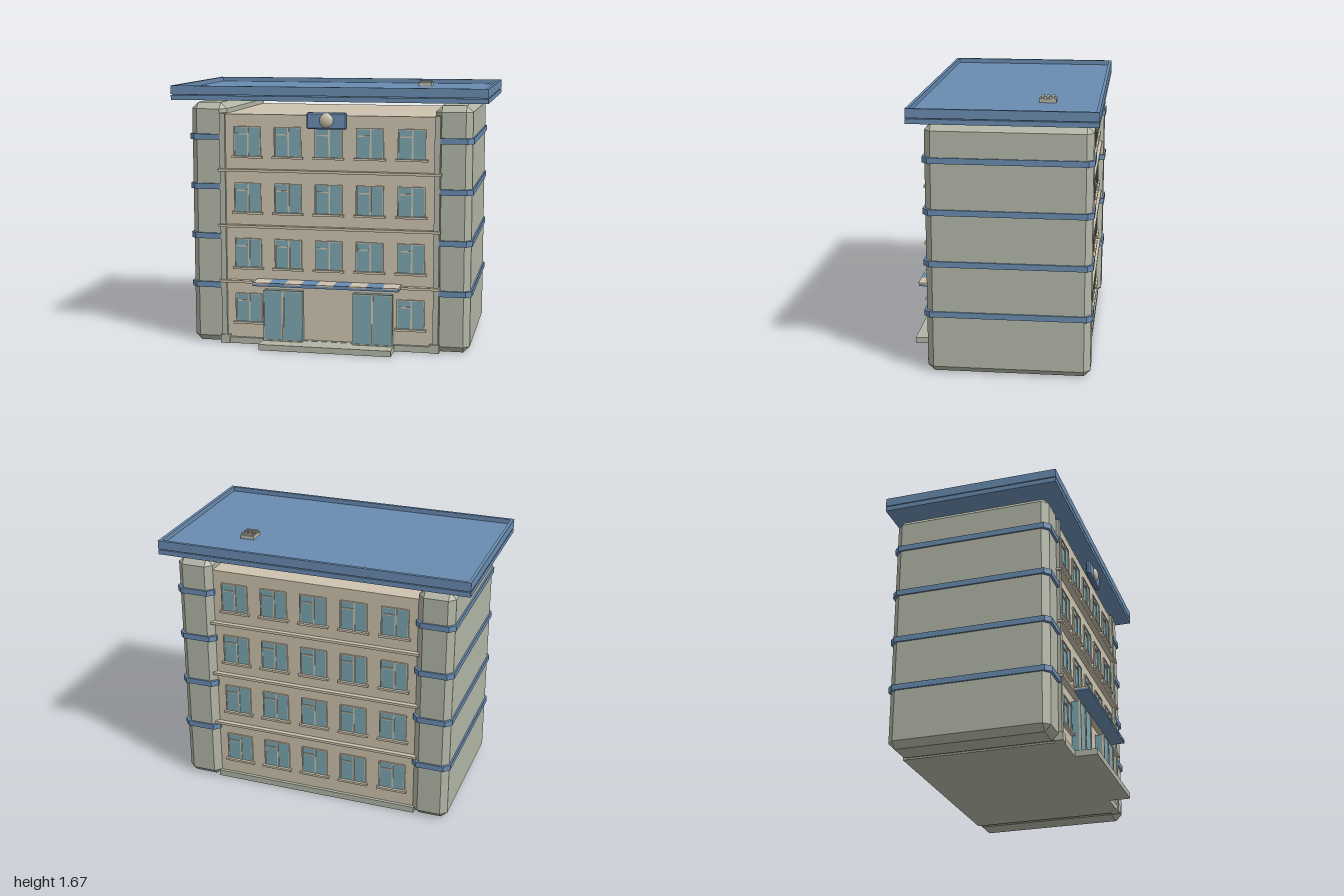
import * as THREE from 'three';
import { ConvexGeometry } from 'three/addons/geometries/ConvexGeometry.js';

const mat = (name, color) => {
  const m = new THREE.MeshStandardMaterial({ color });
  m.name = name;
  return m;
};

export function createModel() {
  const model = new THREE.Group();
  model.name = 'building';
  const wall = mat('beige wall', 0xcdc3ae);
  const stone = mat('grey green stone', 0xb2b6a6);
  const blue = mat('blue trim', 0x6a8cb1);
  const glass = mat('teal glass', 0x7ba5b0);

  const add = (parent, name, geo, material) => {
    const m = new THREE.Mesh(geo, material);
    m.name = name;
    parent.add(m);
    return m;
  };
  // Box given by its minimum and maximum on each axis
  const box = (parent, name, material, x0, x1, y0, y1, z0, z1) => {
    const m = add(parent, name, new THREE.BoxGeometry(x1 - x0, y1 - y0, z1 - z0), material);
    m.position.set((x0 + x1) / 2, (y0 + y1) / 2, (z0 + z1) / 2);
    return m;
  };
  // Box with all edges chamfered by c
  const chamferBox = (parent, name, material, x0, x1, y0, y1, z0, z1, c) => {
    const h = [(x1 - x0) / 2, (y1 - y0) / 2, (z1 - z0) / 2];
    const pts = [];
    for (const sx of [-1, 1]) for (const sy of [-1, 1]) for (const sz of [-1, 1])
      for (let full = 0; full < 3; full++) {
        const d = h.map((v, i) => (i === full ? v : v - c));
        pts.push(new THREE.Vector3(sx * d[0], sy * d[1], sz * d[2]));
      }
    const m = add(parent, name, new ConvexGeometry(pts), material);
    m.position.set((x0 + x1) / 2, (y0 + y1) / 2, (z0 + z1) / 2);
    return m;
  };

  const FRONT = 0.44, BACK = -0.525;

  // Main block and plinth
  box(model, 'mainBlock', wall, -0.69, 0.69, 0.01, 1.49, BACK, FRONT);
  box(model, 'plinth', stone, -0.68, 0.68, 0, 0.04, BACK - 0.02, FRONT + 0.02);

  // Side towers with blue bands, and front pilasters
  for (const s of [-1, 1]) {
    const tower = new THREE.Group();
    tower.name = s > 0 ? 'leftTower' : 'rightTower';
    model.add(tower);
    const span = (a, b) => (s > 0 ? [a, b] : [-b, -a]);
    chamferBox(tower, 'towerBody', stone, ...span(0.67, 0.9), 0, 1.56, -0.565, 0.44, 0.04);
    for (const y of [0.382, 0.703, 1.025, 1.343]) {
      // Band follows the chamfered plan of the tower
      const [x0, x1] = span(0.66, 0.91);
      const c = 0.036, z0 = -0.575, z1 = 0.455;
      const plan = [[x0 + c, z0], [x1 - c, z0], [x1, z0 + c], [x1, z1 - c],
        [x1 - c, z1], [x0 + c, z1], [x0, z1 - c], [x0, z0 + c]];
      const pts = plan.flatMap(([x, z]) =>
        [y - 0.018, y + 0.018].map((h) => new THREE.Vector3(x, h, z)));
      add(tower, 'towerBand', new ConvexGeometry(pts), blue);
    }
    box(tower, 'pilaster', stone, ...span(0.67, 0.705), 0, 1.495, 0.41, 0.46);
    box(tower, 'pilasterBase', stone, ...span(0.65, 0.712), 0, 0.055, 0.41, 0.468);
  }

  // Ledges between floors
  for (const y of [0.412, 0.774, 1.134]) {
    box(model, 'frontLedge', wall, -0.715, 0.715, y - 0.008, y + 0.008, FRONT - 0.01, 0.476);
    box(model, 'backLedge', wall, -0.69, 0.69, y - 0.008, y + 0.008, BACK - 0.03, BACK + 0.01);
  }

  // Window built facing +z with its wall at z = 0
  const makeWindow = () => {
    const g = new THREE.Group();
    g.name = 'window';
    const w = 0.085, h = 0.095, t = 0.006, d = 0.01;
    box(g, 'windowGlass', glass, -w, w, -h, h, -0.004, 0.004);
    for (const s of [-1, 1]) {
      box(g, 'windowFrameSide', wall, s * w - t / 2, s * w + t / 2, -h, h, 0, d);
      box(g, 'windowFrameRail', wall, -w, w, s * h - t / 2, s * h + t / 2, 0, d);
    }
    box(g, 'windowMullion', wall, 0, 0.01, -h, h, 0, d);
    box(g, 'windowTransom', wall, -w + 0.012, 0, h - 0.05, h - 0.042, 0, d);
    box(g, 'windowSill', wall, -0.1, 0.1, -h - 0.008, -h + 0.006, 0, 0.022);
    return g;
  };
  for (const y of [0.235, 0.595, 0.955, 1.315]) {
    for (let i = -2; i <= 2; i++) {
      const x = i * 0.2635;
      if (y > 0.3 || Math.abs(i) === 2) {
        const front = makeWindow();
        front.position.set(x, y, FRONT);
        model.add(front);
      }
      const back = makeWindow();
      back.position.set(x, y, BACK);
      back.rotation.y = Math.PI;
      model.add(back);
    }
  }

  // Entrance step and projecting glazed door bays
  box(model, 'entranceStep', stone, -0.425, 0.425, 0, 0.038, 0.4, 0.6);
  for (const s of [-1, 1]) {
    const bay = new THREE.Group();
    bay.name = 'doorBay';
    bay.position.x = s * 0.29;
    model.add(bay);
    box(bay, 'doorGlass', glass, -0.125, 0.125, 0.038, 0.366, FRONT, 0.494);
    for (const x of [-0.125, -0.004, 0.004, 0.125])
      box(bay, 'doorPost', wall, x - 0.003, x + 0.003, 0.038, 0.37, 0.485, 0.5);
    for (const y of [0.041, 0.367])
      box(bay, 'doorRail', wall, -0.125, 0.125, y - 0.003, y + 0.003, 0.485, 0.5);
  }

  // Striped canopy
  box(model, 'canopySlab', blue, -0.468, 0.468, 0.408, 0.422, FRONT, 0.565);
  for (let i = 0; i < 9; i++) {
    const x = -0.468 + i * 0.104;
    box(model, 'canopyStripe', i % 2 ? blue : wall, x, x + 0.104, 0.422, 0.431, FRONT, 0.567);
  }

  // Sign plate with a domed lamp
  chamferBox(model, 'signPlate', blue, -0.127, 0.127, 1.408, 1.512, 0.478, 0.51, 0.008);
  const dome = add(model, 'signDome', new THREE.SphereGeometry(0.045, 24, 16), wall);
  dome.scale.z = 0.55;
  dome.position.set(0, 1.463, 0.507);

  // Floating roof: lower slab, groove core, raised rim around a sunken deck
  box(model, 'roofSlab', blue, -1, 1, 1.58, 1.61, -0.6, 0.525);
  box(model, 'roofDeck', blue, -0.99, 0.99, 1.605, 1.64, -0.59, 0.515);
  const rim = new THREE.Shape();
  rim.moveTo(-1, -0.525).lineTo(1, -0.525).lineTo(1, 0.6).lineTo(-1, 0.6).closePath();
  const hole = new THREE.Path();
  hole.moveTo(-0.98, -0.505).lineTo(-0.98, 0.58).lineTo(0.98, 0.58).lineTo(0.98, -0.505).closePath();
  rim.holes.push(hole);
  const rimMesh = add(model, 'roofRim',
    new THREE.ExtrudeGeometry(rim, { depth: 0.055, bevelEnabled: false }), blue);
  rimMesh.rotation.x = -Math.PI / 2;
  rimMesh.position.y = 1.615;

  // Roof vent with ridged top
  box(model, 'roofVent', stone, 0.475, 0.565, 1.635, 1.664, -0.32, -0.215);
  for (const z of [-0.3, -0.267, -0.235])
    box(model, 'ventRidge', stone, 0.48, 0.56, 1.66, 1.675, z - 0.009, z + 0.009);

  return model;
}
